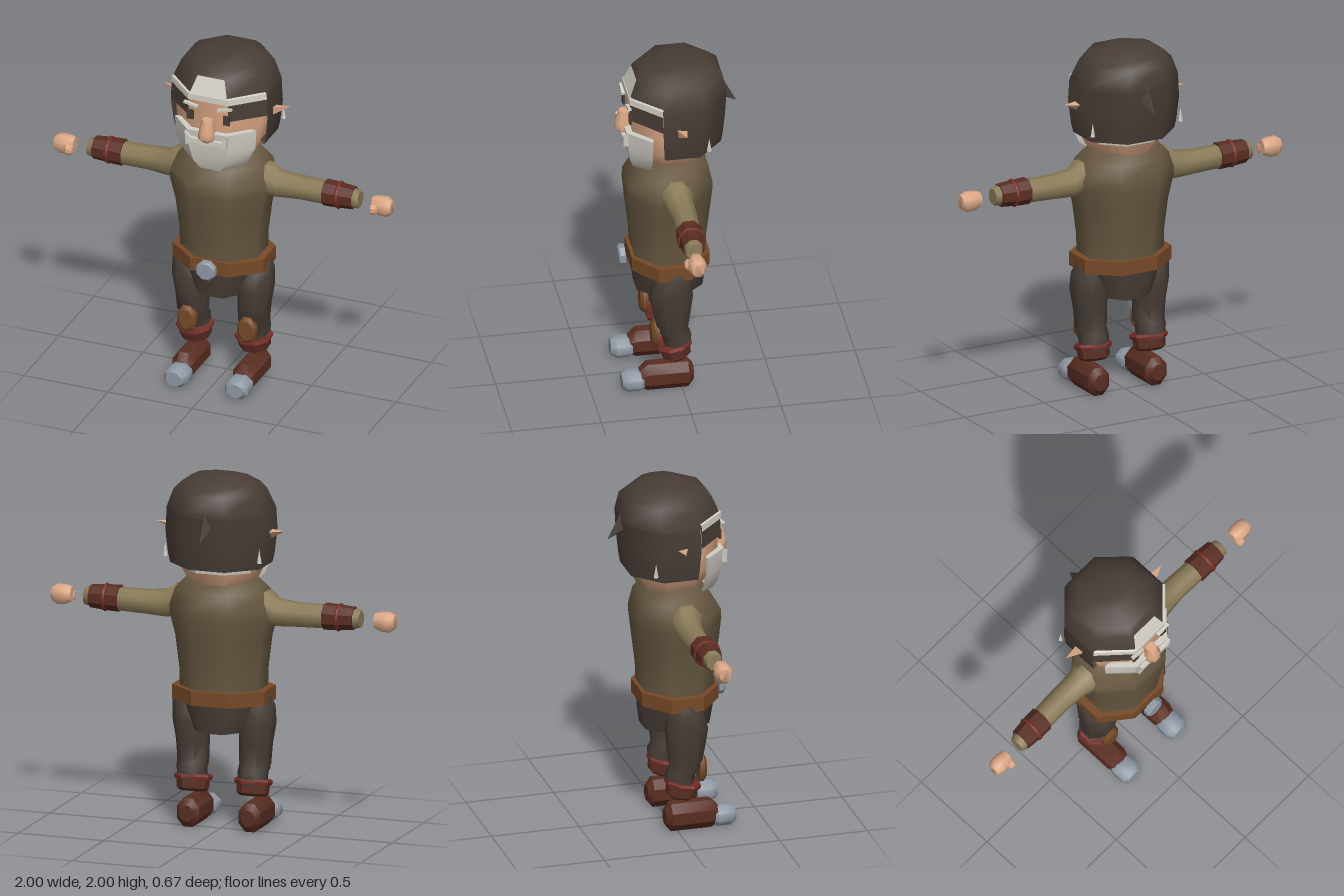
import * as THREE from 'three';
import { toCreasedNormals } from 'three/addons/utils/BufferGeometryUtils.js';

const paint = (name, color) => new THREE.MeshStandardMaterial({ name, color, side: THREE.DoubleSide });

// Skin a surface over cross-sections (arrays of [x,y,z] points, counter-clockwise about the axis)
function skinRings(rings, closed = true, caps = closed) {
  const n = rings[0].length, pos = [], tri = (...p) => p.forEach(v => pos.push(...v));
  for (let i = 0; i + 1 < rings.length; i++) {
    for (let k = 0; k < (closed ? n : n - 1); k++) {
      const j = (k + 1) % n, [a, b] = [rings[i], rings[i + 1]];
      tri(a[k], a[j], b[j]);
      tri(a[k], b[j], b[k]);
    }
  }
  if (caps) {
    const lo = rings[0], hi = rings[rings.length - 1];
    for (let k = 1; k + 1 < n; k++) {
      tri(lo[0], lo[k + 1], lo[k]);
      tri(hi[0], hi[k], hi[k + 1]);
    }
  }
  return new THREE.BufferGeometry().setAttribute('position', new THREE.Float32BufferAttribute(pos, 3));
}

// Octagon at t on an axis (0 x, 1 y, 2 z), bounded on the two following axes
function octagon(axis, [t, c0, c1, s0, s1], ks = [0, 1, 2, 3, 4, 5, 6, 7]) {
  const r = 1 / Math.cos(Math.PI / 8);
  return ks.map(k => {
    const a = Math.PI / 8 + k * Math.PI / 4, p = [0, 0, 0];
    p[axis] = t;
    p[(axis + 1) % 3] = (c0 + c1) / 2 + (c1 - c0) / 2 * r * Math.cos(a);
    p[(axis + 2) % 3] = (s0 + s1) / 2 + (s1 - s0) / 2 * r * Math.sin(a);
    return p;
  });
}
const loft = (axis, rows) => skinRings(rows.map(r => octagon(axis, r)));
// Symmetric body rows: [y, back z, front z, half width]
const body = rows => rows.map(([y, b, f, w]) => [y, b, f, -w, w]);
const shell = (rows, ks) => skinRings(body(rows).map(r => octagon(1, r, ks)), false);

function mirrored(geo) {
  const g = geo.clone(), p = geo.attributes.position, q = g.attributes.position;
  for (let i = 0; i < p.count; i++) {
    const j = i - (i % 3) + 2 - (i % 3);
    q.setXYZ(i, -p.getX(j), p.getY(j), p.getZ(j));
  }
  return g;
}

export function createModel() {
  const skin = paint('skin', 0xdca886), white = paint('whiteHair', 0xd2cec5);
  const dark = paint('darkCloth', 0x483d36), tunic = paint('tunic', 0x665740);
  const sleeve = paint('sleeve', 0x8a7b58), leather = paint('beltLeather', 0x764927);
  const boot = paint('bootLeather', 0x592d22), red = paint('redBand', 0x742e28);
  const metal = paint('metal', 0x8f98a3);

  const root = new THREE.Group();
  root.name = 'bearded adventurer';
  const add = (name, geo, mat, crease = 0.65) => {
    const flat = geo.index ? geo.toNonIndexed() : geo;
    flat.deleteAttribute('normal');
    flat.computeVertexNormals();
    const m = new THREE.Mesh(toCreasedNormals(flat, crease), mat);
    m.name = name;
    root.add(m);
  };
  const pair = (name, geo, mat, crease) => {
    const g = geo.index ? geo.toNonIndexed() : geo;
    add(name + 'Left', g, mat, crease);
    add(name + 'Right', mirrored(g), mat, crease);
  };

  // Head
  add('head', loft(1, body([[1.34, -.1, .12, .1], [1.42, -.14, .19, .19], [1.52, -.18, .24, .235],
    [1.62, -.22, .26, .252], [1.81, -.24, .262, .255]])), skin, 1);
  add('nose', loft(1, [[1.555, .26, .31, -.03, .03], [1.58, .25, .337, -.046, .046],
    [1.62, .25, .335, -.042, .042], [1.69, .25, .315, -.028, .028]]), skin, 1);
  pair('ear', skinRings([[[.26, 1.64, .04], [.26, 1.7, .05], [.26, 1.69, -.02]].reverse(),
    [[.375, 1.705, -.002], [.375, 1.705, 0], [.374, 1.704, -.002]].reverse()]), skin, .3);
  pair('eye', new THREE.BoxGeometry(.038, .055, .012).translate(.107, 1.695, .27), dark);
  pair('eyebrow', new THREE.BoxGeometry(.085, .013, .02).rotateZ(.22).translate(.1, 1.763, .278), white);

  // Dark hair: crown, back and sides, temples, tuft
  const rim = [1.82, -.265, .268, .276];
  add('hairCrown', loft(1, body([[1.8, -.264, .27, .279], rim, [1.92, -.245, .225, .237],
    [1.96, -.2, .19, .2], [2, -.11, .07, .13]])), dark, 1);
  add('hairBack', shell([[1.53, -.17, .2, .22], [1.5, -.235, .245, .262], [1.55, -.243, .255, .273],
    [1.68, -.256, .27, .287], rim], [1, 2, 3, 4, 5, 6]), dark, 1);
  const temple = [[1.69, -.256, .272, .287], [1.81, -.263, .271, .28]];
  pair('hairTemple', shell(temple, [0, 1]), dark);
  add('hairTuft', skinRings([[[-.045, 1.76, -.245], [0, 1.9, -.23], [.045, 1.76, -.245], [0, 1.73, -.24]],
    [[-.002, 1.69, -.336], [0, 1.692, -.336], [.002, 1.69, -.336], [0, 1.688, -.336]]]), dark, .3);

  // White hairline, forelock, nape and side wisps
  add('hairline', shell([[1.79, -.264, .277, .285], [1.825, -.264, .276, .281], [1.83, -.25, .262, .27]],
    [6, 7, 0, 1]), white);
  add('forelock', skinRings([[[-.113, 1.82, .275], [.113, 1.82, .275]], [[-.08, 1.922, .231], [.08, 1.922, .231]]],
    false), white);
  add('nape', shell([[1.47, -.18, .18, .2], [1.53, -.19, .19, .215]], [2, 3, 4, 5]), white);
  pair('wisp', new THREE.ConeGeometry(.014, .08, 4).translate(.275, 1.585, -.14), white);

  // Beard, wrapped around the jaw
  add('beard', skinRings([[1.34, .08, .2], [1.36, .125, .245], [1.41, .19, .265], [1.5, .235, .28], [1.61, .243, .292]]
    .map(([y, w, f]) => {
      const v = w - .025, g = f - .035;
      return [[-w, y, .165], [-w * .48, y, f], [w * .48, y, f], [w, y, .165],
        [v, y, .16], [v * .46, y, g], [-v * .46, y, g], [-v, y, .16]];
    })), white, .5);
  const lip = new THREE.Shape([[0, 1.565], [.05, 1.57], [.095, 1.572], [.125, 1.605], [.118, 1.525], [.075, 1.545],
    [0, 1.535]].map(p => new THREE.Vector2(...p)));
  pair('moustache', new THREE.ExtrudeGeometry(lip, { depth: .03, bevelEnabled: false }).translate(0, 0, .28), white);

  // Torso and hips
  add('tunic', loft(1, body([[.76, -.15, .24, .228], [.9, -.155, .248, .23], [1.08, -.175, .268, .25],
    [1.2, -.186, .278, .28], [1.25, -.186, .275, .283], [1.35, -.165, .22, .25], [1.42, -.11, .16, .185]])), tunic, 1);
  add('hips', loft(1, body([[.56, -.14, .225, .155], [.66, -.15, .238, .19], [.76, -.15, .245, .215]])), dark, 1);
  add('belt', loft(1, body([[.72, -.172, .262, .27], [.8, -.172, .262, .27]])), leather);
  add('buckle', loft(2, [[.285, -.055, .055, .705, .815], [.312, -.055, .055, .705, .815],
    [.322, -.045, .045, .715, .805]]), metal);

  // Arms, bracers and hands
  pair('sleeve', loft(0, [[.22, 1.19, 1.35, -.04, .12], [.28, 1.17, 1.348, -.045, .12], [.325, 1.165, 1.31, -.04, .1],
    [.45, 1.172, 1.298, -.038, .088], [.6, 1.175, 1.298, -.03, .092], [.78, 1.187, 1.29, -.012, .085],
    [.805, 1.19, 1.28, -.005, .08]]), sleeve, 1);
  pair('bracer', loft(0, [[.597, 1.168, 1.308, -.038, .1], [.66, 1.17, 1.305, -.036, .099],
    [.77, 1.178, 1.298, -.025, .092]]), boot);
  pair('bracerRing', new THREE.TorusGeometry(.068, .012, 6, 10).rotateY(Math.PI / 2)
    .translate(.682, 1.238, .033), red, 1);
  pair('hand', loft(0, [[.885, 1.195, 1.275, .01, .08], [.92, 1.18, 1.283, 0, .092], [.97, 1.175, 1.285, 0, .092],
    [1, 1.195, 1.268, .015, .08]]), skin, 1);
  pair('thumb', loft(0, [[.882, 1.2, 1.24, .06, .098], [.892, 1.19, 1.25, .055, .11], [.918, 1.19, 1.25, .055, .11],
    [.927, 1.2, 1.24, .06, .098]]), skin);

  // Legs
  pair('leg', loft(1, [[.25, -.045, .09, .1, .25], [.335, -.052, .105, .1, .258], [.37, -.03, .135, .1, .262],
    [.48, -.045, .155, .1, .268], [.6, -.058, .17, .1, .287], [.7, -.045, .14, .1, .287],
    [.75, -.03, .1, .13, .27]]), dark, 1);
  pair('kneePad', loft(2, [[.125, .125, .232, .275, .43], [.152, .125, .232, .275, .43],
    [.168, .14, .217, .295, .41]]), leather);
  const tilt = g => g.rotateX(.2).translate(.175, .235, .033);
  pair('bootCuff', tilt(loft(1, [[-.045, -.06, .06, -.065, .065], [-.03, -.078, .078, -.082, .082],
    [.05, -.085, .085, -.088, .088]])), boot);
  pair('cuffBand', tilt(loft(1, [[.02, -.092, .092, -.094, .094], [.036, -.096, .096, -.1, .1],
    [.05, -.09, .09, -.094, .094]])), red);

  // Boots with metal toes
  pair('boot', loft(2, [[-.065, .14, .22, .035, .125], [-.035, .115, .245, 0, .16], [.19, .115, .245, 0, .16],
    [.235, .13, .23, .02, .12]]), boot);
  pair('toeCap', loft(2, [[.2, .13, .23, .015, .11], [.23, .112, .247, .002, .118], [.3, .112, .247, .002, .118],
    [.332, .135, .225, .02, .1]]), metal, .9);

  return root;
}
